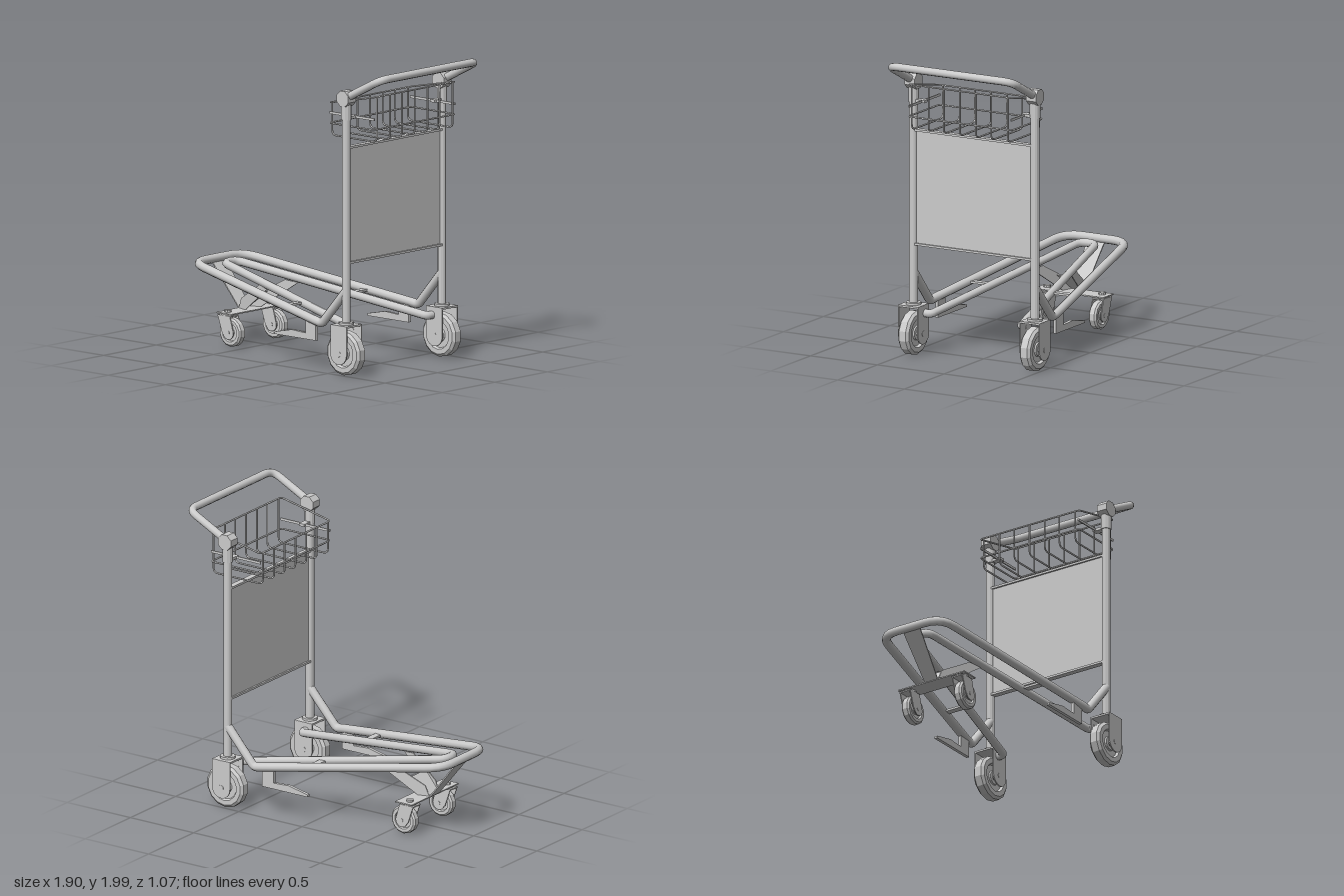
import * as THREE from 'three';

const grey = new THREE.MeshStandardMaterial({ color: 0xcccccc });
const flat = new THREE.MeshStandardMaterial({ color: 0xcccccc, flatShading: true });
const V = (x, y, z) => new THREE.Vector3(x, y, z);

// Polyline with rounded corners, sampled only where it bends
class BentPath extends THREE.Curve {
  constructor(corners, r) {
    super();
    this.pts = [corners[0]];
    for (let i = 1; i < corners.length - 1; i++) {
      const [a, b, c] = [corners[i - 1], corners[i], corners[i + 1]];
      const cut = Math.min(r, a.distanceTo(b) * 0.49, b.distanceTo(c) * 0.49);
      const s = b.clone().add(a.clone().sub(b).setLength(cut));
      const e = b.clone().add(c.clone().sub(b).setLength(cut));
      this.pts.push(...new THREE.QuadraticBezierCurve3(s, b, e).getPoints(5));
    }
    this.pts.push(corners[corners.length - 1]);
  }
  getPointAt(u) {
    const n = this.pts.length - 1, i = Math.min(n - 1, Math.floor(u * n + 1e-6));
    return this.pts[i].clone().lerp(this.pts[i + 1], Math.max(0, u * n - i));
  }
  getPoint(u) { return this.getPointAt(u); }
  getTangentAt(u) {
    const n = this.pts.length - 1, i = Math.round(u * n), p = this.pts;
    const t = V(0, 0, 0);
    if (i > 0) t.add(p[i].clone().sub(p[i - 1]).normalize());
    if (i < n) t.add(p[i + 1].clone().sub(p[i]).normalize());
    return t.normalize();
  }
}

export function createModel() {
  const root = new THREE.Group();
  const add = (name, geo, x = 0, y = 0, z = 0, mat = flat, parent = root) => {
    const m = new THREE.Mesh(geo, mat);
    m.name = name;
    m.position.set(x, y, z);
    parent.add(m);
    return m;
  };
  const tube = (name, corners, radius, bend, sides = 10, parent = root) => {
    const path = new BentPath(corners, bend);
    return add(name, new THREE.TubeGeometry(path, path.pts.length - 1, radius, sides), 0, 0, 0, grey, parent);
  };
  const box = (name, w, h, d, x, y, z) => add(name, new THREE.BoxGeometry(w, h, d), x, y, z);
  const cyl = (name, r, h, x, y, z, sides = 12, alongZ = false) => {
    const g = new THREE.CylinderGeometry(r, r, h, sides);
    if (alongZ) g.rotateX(Math.PI / 2);
    return add(name, g, x, y, z);
  };
  // Flat plate cut in the x-y plane, centred on z
  const plate = (shape, t) => new THREE.ExtrudeGeometry(shape, { depth: t, bevelEnabled: false, curveSegments: 8 }).translate(0, 0, -t / 2);
  const poly = pts => new THREE.Shape(pts.map(p => new THREE.Vector2(...p)));
  const mirrored = half => [...half, ...half.slice().reverse().map(p => V(p.x, p.y, -p.z))];

  // Wheel with bevelled tyre and recessed hub
  const wheelGeo = (r, w) => {
    const side = [[0, 0.36], [0.3, 0.36], [0.34, 0.26], [0.6, 0.26], [0.66, 0.46], [0.88, 0.46], [1, 0.28]];
    const pts = [...side.map(([a, b]) => [a, -b]), ...side.slice().reverse()];
    return new THREE.LatheGeometry(pts.map(([a, b]) => new THREE.Vector2(a * r, b * w)), 14).rotateX(Math.PI / 2);
  };

  // Platform rails and push handle
  tube('outerRail', mirrored([V(0.62, 0.56, 0.455), V(0.41, 0.322, 0.457), V(0.36, 0.33, 0.455), V(-0.92, 0.525, 0.235)]), 0.029, 0.12);
  tube('innerRail', mirrored([V(0.6, 0.287, 0.39), V(0.6, 0.287, 0.335), V(-0.815, 0.513, 0.06)]), 0.027, 0.07);
  tube('handle', mirrored([V(0.62, 1.82, 0.46), V(0.922, 1.974, 0.46)]), 0.026, 0.07);

  // Back panel with edge rods
  box('backPanel', 0.016, 0.75, 0.87, 0.62, 1.12, 0);
  for (const y of [0.743, 1.497]) box('panelEdge', 0.04, 0.014, 0.88, 0.62, y, 0);

  const forkShape = new THREE.Shape();
  forkShape.moveTo(-0.07, 0.185);
  forkShape.lineTo(-0.07, 0);
  forkShape.absarc(0, 0, 0.07, Math.PI, Math.PI * 2, false);
  forkShape.lineTo(0.07, 0.185);

  const casterShape = new THREE.Shape();
  casterShape.moveTo(-0.092, 0.108);
  casterShape.lineTo(-0.05, -0.01);
  casterShape.absarc(0, 0, 0.045, Math.PI * 1.1, Math.PI * 2.05, false);
  casterShape.lineTo(0.015, 0.108);

  const footShape = poly([[0.35, 0.2], [0.35, 0.32], [0.26, 0.33], [0.26, 0.24], [0.14, 0.247], [-0.01, 0.215], [-0.01, 0.2]]);
  const strutShape = poly([[-0.69, 0.225], [-0.62, 0.225], [-0.35, 0.412], [-0.44, 0.425], [-0.66, 0.3]]);

  for (const s of [1, -1]) {
    const z = 0.455 * s;
    // Upright post with collars and handle pivot
    cyl('post', 0.028, 1.45, 0.62, 1.07, z, 12);
    cyl('postSleeve', 0.034, 0.1, 0.62, 1.73, z, 12);
    cyl('postCollar', 0.05, 0.02, 0.62, 0.347, z, 12);
    cyl('handlePivot', 0.055, 0.075, 0.62, 1.82, z, 8, true).geometry.rotateZ(Math.PI / 8);

    // Rear wheel and its fork
    add('rearWheel', wheelGeo(0.145, 0.087), 0.62, 0.155, z);
    box('rearForkTop', 0.14, 0.012, 0.15, 0.62, 0.336, z);
    for (const o of [-0.071, 0.071]) add('rearForkSide', plate(forkShape, 0.009), 0.62, 0.155, z + o);
    cyl('rearAxle', 0.02, 0.155, 0.62, 0.155, z, 10, true);

    // Front caster
    const cz = 0.205 * s;
    add('casterWheel', wheelGeo(0.095, 0.062), -0.605, 0.105, cz);
    for (const o of [-0.039, 0.039]) add('casterForkSide', plate(casterShape, 0.007), -0.605, 0.105, cz + o);
    box('casterForkTop', 0.107, 0.008, 0.085, -0.643, 0.21, cz);
    cyl('casterAxle', 0.014, 0.09, -0.605, 0.105, cz, 8, true);
    cyl('casterSwivel', 0.045, 0.014, -0.643, 0.222, cz, 12);
    cyl('casterBolt', 0.024, 0.02, -0.643, 0.237, cz, 10);

    // Tie bar between rails and low foot bracket
    box('tieBar', 0.045, 0.014, 0.18, 0.02, 0.38, 0.305 * s);
    add('footBracket', plate(footShape, 0.022), 0, 0, 0.442 * s);

    // Strut side, splaying out to meet the inner rail
    const strut = plate(strutShape, 0.008);
    const p = strut.attributes.position;
    for (let i = 0; i < p.count; i++) p.setZ(i, p.getZ(i) + s * (0.05 + 0.28 * (p.getX(i) + 0.69)));
    strut.computeVertexNormals();
    add('strutSide', strut);

    // Basket side bar and mount to the post
    box('basketSideBar', 0.39, 0.016, 0.008, 0.605, 1.692, 0.383 * s);
    box('basketMount', 0.04, 0.018, 0.075, 0.62, 1.692, 0.4 * s);
  }

  // Caster cross plate, strut web and front strap
  box('casterCrossPlate', 0.13, 0.008, 0.52, -0.63, 0.228, 0);
  const slab = (name, x0, y0, x1, y1, w0, w1) => {
    const len = Math.hypot(x1 - x0, y1 - y0);
    const g = new THREE.BoxGeometry(len, 0.008, 1);
    const p = g.attributes.position;
    for (let i = 0; i < p.count; i++) p.setZ(i, p.getZ(i) * (p.getX(i) < 0 ? w0 : w1));
    add(name, g, (x0 + x1) / 2, (y0 + y1) / 2, 0).rotation.z = Math.atan2(y1 - y0, x1 - x0);
  };
  slab('strutWeb', -0.69, 0.232, -0.56, 0.345, 0.1, 0.17);
  slab('frontStrap', -0.91, 0.505, -0.69, 0.228, 0.13, 0.1);

  // Wire basket
  const basket = new THREE.Group();
  basket.name = 'basket';
  root.add(basket);
  const wire = (name, pts, bend) => tube(name, pts, 0.006, bend, 6, basket);
  const ring = (name, y0, y1) => {
    const ym = (y0 + y1) / 2;
    wire(name, [V(0.605, ym, 0.388), V(0.8, y1, 0.388), V(0.8, y1, -0.388), V(0.41, y0, -0.388),
      V(0.41, y0, 0.388), V(0.605, ym, 0.388)], 0.025);
  };
  ring('basketRim', 1.757, 1.838);
  ring('basketHoop', 1.625, 1.625);
  for (const z of [-0.36, -0.235, -0.12, 0, 0.12, 0.235, 0.36]) {
    wire('basketRib', [V(0.41, 1.757, z), V(0.41, 1.542, z), V(0.8, 1.542, z), V(0.8, 1.838, z)], 0.035);
  }
  return root;
}
